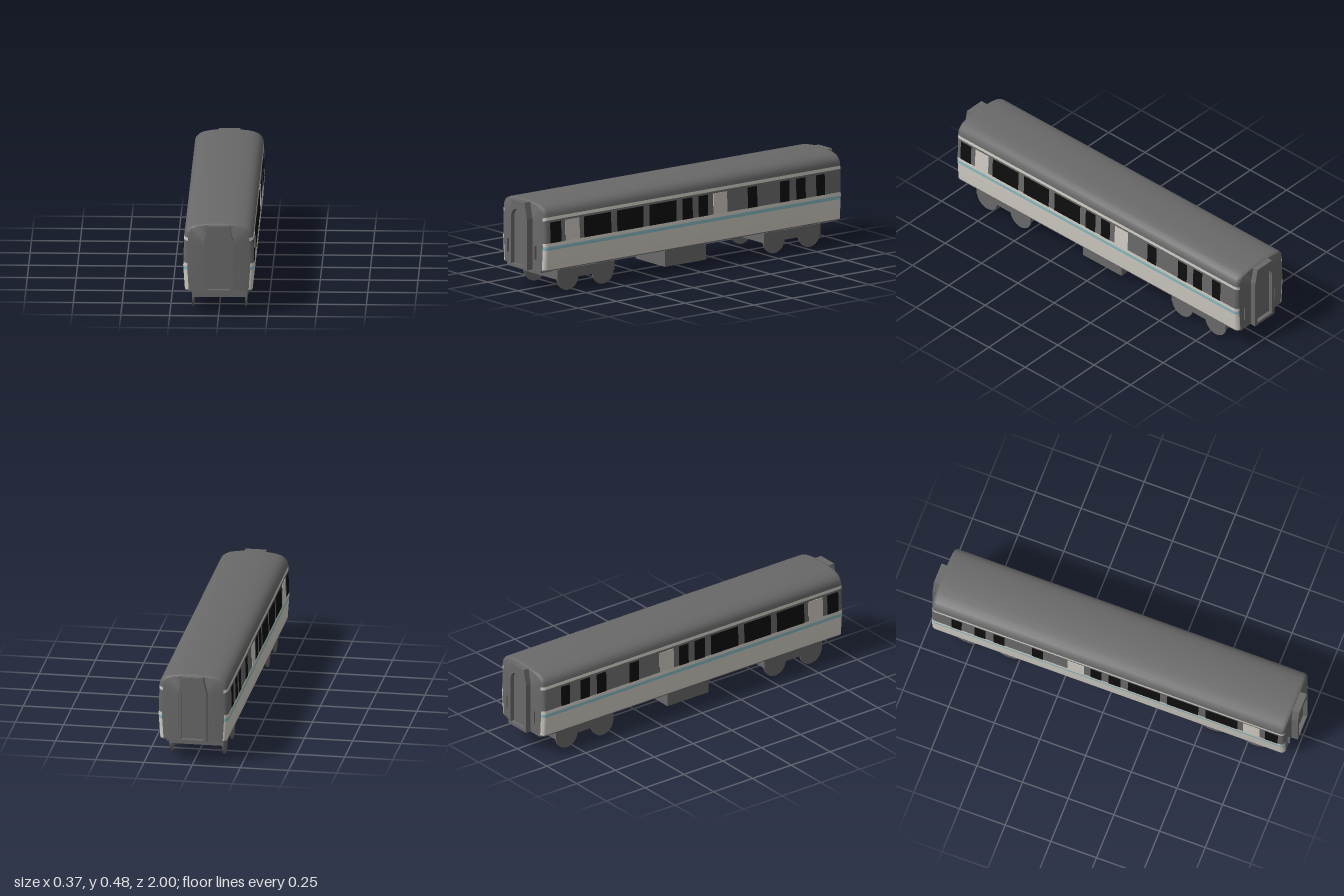
import * as THREE from 'three';
import { toCreasedNormals } from 'three/addons/utils/BufferGeometryUtils.js';

const BACK = -0.97, FRONT = 0.964;

// Half cross-section of the body from the sill to the roof ridge: x, y, colour of the strip above
// (0 grey, 1 cream, 2 teal)
const PROFILE = [
  [0.173, 0.125, 0], [0.1735, 0.13, 1], [0.181, 0.235, 2], [0.182, 0.253, 1], [0.1812, 0.272, 0],
  [0.178, 0.392, 1], [0.177, 0.409, 0], [0.1755, 0.423, 0], [0.171, 0.437, 0], [0.162, 0.449, 0],
  [0.149, 0.459, 0], [0.13, 0.467, 0], [0.1, 0.473, 0], [0.06, 0.4775, 0], [0, 0.48, 0],
];

// Loft the closed cross-section along z, rounding the corners at both ends
function bodyGeometry() {
  const n = PROFILE.length;
  const ring = PROFILE.map((p) => [p[0], p[1]]);
  const tint = PROFILE.slice(0, n - 1).map((p) => p[2]);
  for (let i = n - 2; i >= 0; i--) {
    ring.push([-PROFILE[i][0], PROFILE[i][1]]);
    tint.push(PROFILE[i][2]);
  }
  tint.push(0);
  const corner = [[0, 0.021], [0.003, 0.011], [0.009, 0.004], [0.021, 0]];
  const stations = [
    ...corner.map(([d, inset]) => [BACK + d, inset]),
    ...corner.slice().reverse().map(([d, inset]) => [FRONT - d, inset]),
  ];
  const sections = stations.map(([z, inset]) => ring.map(([x, y]) => [
    x * (1 - inset / 0.181), 0.125 + (y - 0.125) * (1 - inset), z]));
  const faces = [[], [], []];
  const m = ring.length;
  for (let s = 0; s < sections.length - 1; s++) {
    for (let i = 0; i < m; i++) {
      const j = (i + 1) % m;
      const a = sections[s], b = sections[s + 1];
      faces[tint[i]].push(...a[i], ...a[j], ...b[j], ...a[i], ...b[j], ...b[i]);
    }
  }
  const first = sections[0], last = sections[sections.length - 1];
  for (let i = 0; i < m; i++) {
    const j = (i + 1) % m;
    faces[0].push(0, 0.3, FRONT, ...last[i], ...last[j]);
    faces[0].push(0, 0.3, BACK, ...first[j], ...first[i]);
  }
  const geometry = new THREE.BufferGeometry();
  geometry.setAttribute('position', new THREE.Float32BufferAttribute(faces.flat(), 3));
  let start = 0;
  faces.forEach((f, k) => {
    geometry.addGroup(start, f.length / 3, k);
    start += f.length / 3;
  });
  return toCreasedNormals(geometry, 0.6);
}

// Arched outline of the end door
function archPath(path) {
  path.moveTo(-0.056, 0.136);
  path.lineTo(0.056, 0.136);
  path.lineTo(0.056, 0.375);
  path.bezierCurveTo(0.056, 0.41, 0.032, 0.429, 0, 0.429);
  path.bezierCurveTo(-0.032, 0.429, -0.056, 0.41, -0.056, 0.375);
  path.closePath();
  return path;
}

export function createModel() {
  const model = new THREE.Group();
  model.name = 'railCarriage';
  const material = (name, color) => {
    const m = new THREE.MeshStandardMaterial({ color });
    m.name = name;
    return m;
  };
  const grey = material('bodyGrey', 0x696969);
  const cream = material('cream', 0xd0ccc3);
  const teal = material('teal', 0x86bac2);
  const black = material('windowBlack', 0x0e0e0e);

  const add = (parent, name, geometry, mat, x = 0, y = 0, z = 0) => {
    const mesh = new THREE.Mesh(geometry, mat);
    mesh.name = name;
    mesh.position.set(x, y, z);
    parent.add(mesh);
    return mesh;
  };
  const box = (parent, name, mat, x0, x1, y0, y1, z0, z1) => add(parent, name,
    new THREE.BoxGeometry(x1 - x0, y1 - y0, z1 - z0), mat,
    (x0 + x1) / 2, (y0 + y1) / 2, (z0 + z1) / 2);

  add(model, 'body', bodyGeometry(), [grey, cream, teal]);

  // Windows and doors: thin plates leaning with the side wall
  const windows = [[0.86, 0.93], [0.535, 0.71], [0.325, 0.495], [0.11, 0.285], [0.005, 0.07],
    [-0.095, -0.035], [-0.415, -0.355], [-0.625, -0.565], [-0.73, -0.67], [-0.855, -0.8]];
  const doors = [[0.74, 0.83], [-0.22, -0.13]];
  const lean = Math.atan2(0.0032, 0.12);
  const plate = (name, mat, [z0, z1], y0, y1) => {
    for (const side of [1, -1]) {
      const y = (y0 + y1) / 2;
      const x = 0.1812 - (y - 0.272) * (0.0032 / 0.12);
      const mesh = add(model, name, new THREE.BoxGeometry(0.004, y1 - y0, z1 - z0), mat,
        side * x, y, (z0 + z1) / 2);
      mesh.rotation.z = side * lean;
    }
  };
  windows.forEach((span) => plate('window', black, span, 0.272, 0.381));
  doors.forEach((span) => plate('sideDoor', cream, span, 0.272, 0.381));

  // Gangway, recessed end door, handrails and end beam, repeated at the back
  const frame = new THREE.Shape([[-0.074, 0.12], [0.074, 0.12], [0.074, 0.39], [0.055, 0.472],
    [-0.055, 0.472], [-0.074, 0.39]].map(([x, y]) => new THREE.Vector2(x, y)));
  frame.holes.push(archPath(new THREE.Path()));
  const frameGeometry = new THREE.ExtrudeGeometry(frame,
    { depth: 0.05, bevelEnabled: false, curveSegments: 8 });
  const doorGeometry = new THREE.ShapeGeometry(archPath(new THREE.Shape()), 8);
  for (const turn of [0, Math.PI]) {
    const end = new THREE.Group();
    end.name = turn ? 'backEnd' : 'frontEnd';
    end.rotation.y = turn;
    add(end, 'gangwayFrame', frameGeometry, grey, 0, 0, 0.95);
    add(end, 'endDoor', doorGeometry, grey, 0, 0, 0.979);
    box(end, 'handrail', grey, -0.127, -0.121, 0.18, 0.25, 0.955, 0.976);
    box(end, 'handrail', grey, 0.103, 0.109, 0.18, 0.25, 0.955, 0.976);
    box(end, 'endBeam', grey, -0.14, 0.14, 0.112, 0.13, 0.89, 0.962);
    model.add(end);
  }

  // Bogies: a frame with four thin wheels
  const wheel = new THREE.CylinderGeometry(0.069, 0.069, 0.009, 32);
  wheel.rotateZ(Math.PI / 2);
  for (const z of [0.67, -0.672]) {
    const bogie = new THREE.Group();
    bogie.name = 'bogie';
    bogie.position.z = z;
    box(bogie, 'bogieFrame', grey, -0.14, 0.144, 0.062, 0.114, -0.185, 0.185);
    box(bogie, 'bogiePivot', grey, -0.13, 0.13, 0.11, 0.128, -0.06, 0.06);
    for (const x of [-0.135, 0.1365]) {
      for (const dz of [-0.115, 0.115]) add(bogie, 'wheel', wheel, grey, x, 0.069, dz);
    }
    model.add(bogie);
  }

  // Equipment box under the floor
  box(model, 'equipmentBox', grey, -0.122, 0.125, 0.025, 0.127, -0.125, 0.14);
  return model;
}
